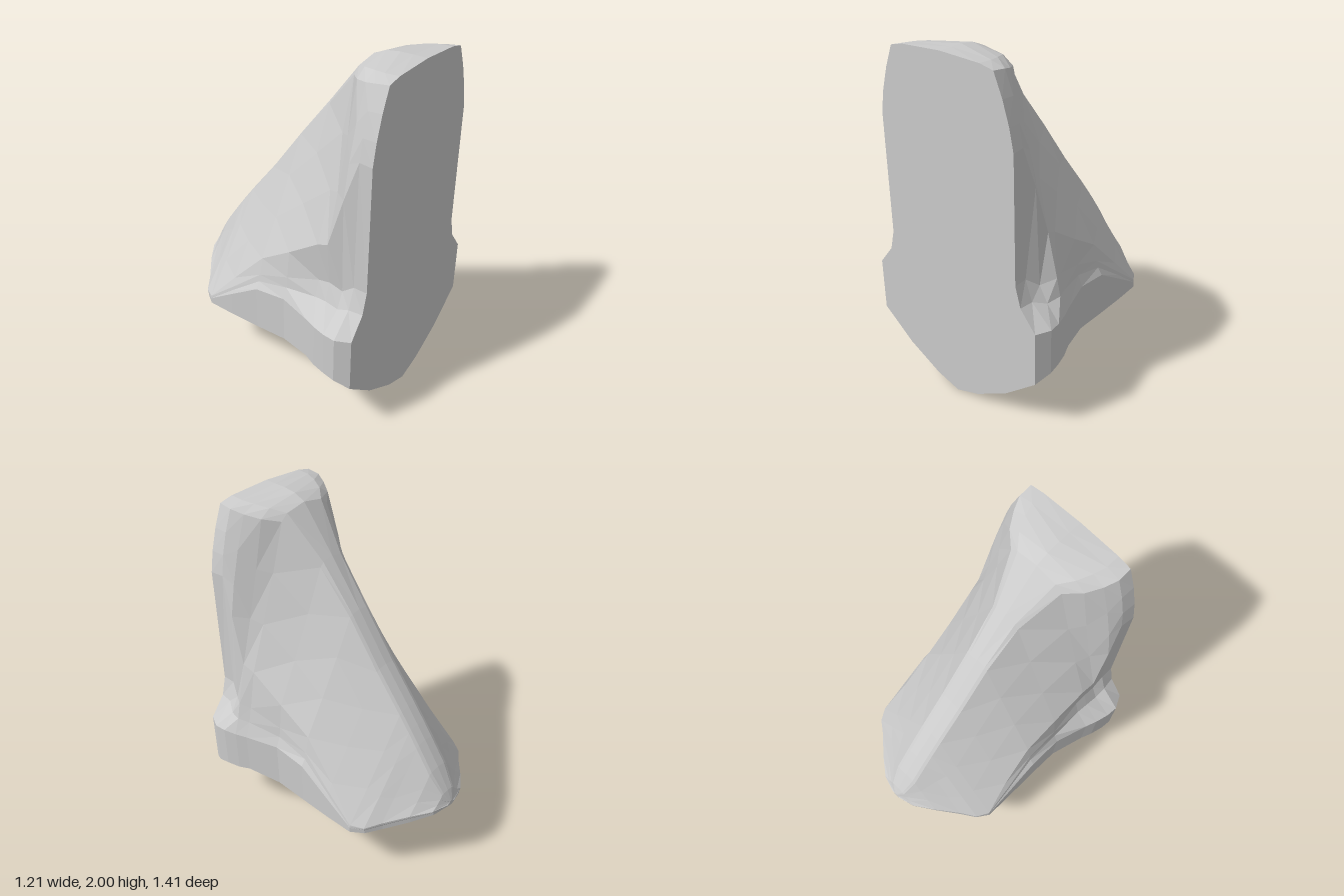
import * as THREE from 'three';

const lerp = THREE.MathUtils.lerp;

// One row per vertical slice, front to back:
// z, top y, ridge half width, ridge drop, crease x, crease y, waist x, base half width, keel y, base edge y
const slices = [
  [0.70, 2.00, 0.33, 0.03, 0.44, 1.60, 0.44, 0.565, 0.00, 0.335],
  [0.62, 2.00, 0.33, 0.04, 0.43, 1.60, 0.45, 0.605, 0.02, 0.38],
  [0.55, 2.00, 0.30, 0.06, 0.45, 1.38, 0.475, 0.60, 0.035, 0.39],
  [0.47, 1.99, 0.25, 0.07, 0.465, 1.10, 0.525, 0.58, 0.054, 0.39],
  [0.40, 1.96, 0.17, 0.06, 0.455, 1.07, 0.50, 0.555, 0.07, 0.40],
  [0.20, 1.71, 0.09, 0.04, 0.44, 0.93, 0.46, 0.495, 0.117, 0.37],
  [0.00, 1.45, 0.075, 0.02, 0.43, 0.80, 0.455, 0.49, 0.164, 0.355],
  [-0.20, 1.18, 0.075, 0.02, 0.45, 0.59, 0.475, 0.49, 0.21, 0.35],
  [-0.37, 0.97, 0.075, 0.02, 0.485, 0.40, 0.487, 0.488, 0.25, 0.35],
  [-0.44, 0.88, 0.075, 0.02, 0.445, 0.39, 0.445, 0.44, 0.285, 0.35],
  [-0.50, 0.80, 0.075, 0.02, 0.36, 0.41, 0.36, 0.355, 0.315, 0.36],
  [-0.60, 0.66, 0.075, 0.02, 0.24, 0.44, 0.24, 0.23, 0.37, 0.39],
  [-0.68, 0.53, 0.05, 0.01, 0.13, 0.45, 0.13, 0.12, 0.415, 0.42],
  [-0.71, 0.465, 0.01, 0.003, 0.03, 0.45, 0.03, 0.025, 0.435, 0.44],
];

// Half of a slice on one side (+1 or -1), from keel up to ridge
function halfSection([z, top, ridge, drop, xc, yc, xm, w, keel, edge], side) {
  const pts = [];
  const add = (x, y) => pts.push(new THREE.Vector3(side * x, y, z));
  // Rounded V underside
  [[0, 0], [0.27, 0.15], [0.64, 0.5], [1, 1]].forEach(([u, v]) => add(u * w, lerp(keel, edge, v)));
  // Flank: foot, knee, waist and crease; the +x side has a web above its foot
  const web = side > 0 && z > 0.35 && z < 0.6;
  const shoulder = Math.min(0.65, lerp(edge, yc, 0.6));
  const waistX = z > 0.35 && !web ? Math.min(xm, 0.44) : xm;
  const waistY = lerp(shoulder, yc, z > 0.5 ? 0.25 : 0.45);
  add(w, shoulder);
  add(lerp(w, waistX, web ? 0.6 : 0.75), lerp(shoulder, waistY, 0.5));
  add(waistX, waistY);
  add(xc, yc);
  // Roof-like back: rounded at the front plate, slightly hollow behind
  const bulge = z > 0.5 ? 0.013 : -0.008;
  [0.33, 0.67].forEach((t) => add(lerp(xc, ridge, t) + bulge, lerp(yc, top - drop, t)));
  // Narrow ridge that widens into the top
  add(ridge, top - drop);
  add(ridge * 0.75, top - drop * 0.4);
  add(0, top);
  return pts;
}

export function createModel() {
  const group = new THREE.Group();
  const right = slices.map((s) => halfSection(s, -1));
  const left = slices.map((s) => halfSection(s, 1));
  const pos = [];
  const quad = (a, b, c, d) => [a, b, c, a, c, d].forEach((p) => pos.push(p.x, p.y, p.z));

  // Both flanks between neighbouring slices
  const rows = left[0].length - 1, last = slices.length - 1;
  for (let j = 0; j < last; j++) {
    for (let i = 0; i < rows; i++) {
      quad(left[j][i], left[j + 1][i], left[j + 1][i + 1], left[j][i + 1]);
      quad(right[j][i], right[j][i + 1], right[j + 1][i + 1], right[j + 1][i]);
    }
  }
  // Flat front plate and small rear tip
  for (let i = 0; i < rows; i++) {
    quad(right[0][i], left[0][i], left[0][i + 1], right[0][i + 1]);
    quad(left[last][i], right[last][i], right[last][i + 1], left[last][i + 1]);
  }

  const geometry = new THREE.BufferGeometry();
  geometry.setAttribute('position', new THREE.Float32BufferAttribute(pos, 3));
  geometry.computeVertexNormals();
  const body = new THREE.Mesh(geometry, new THREE.MeshStandardMaterial({ color: 0xcccccc, flatShading: true }));
  body.name = 'wedgeBody';
  group.add(body);
  return group;
}
